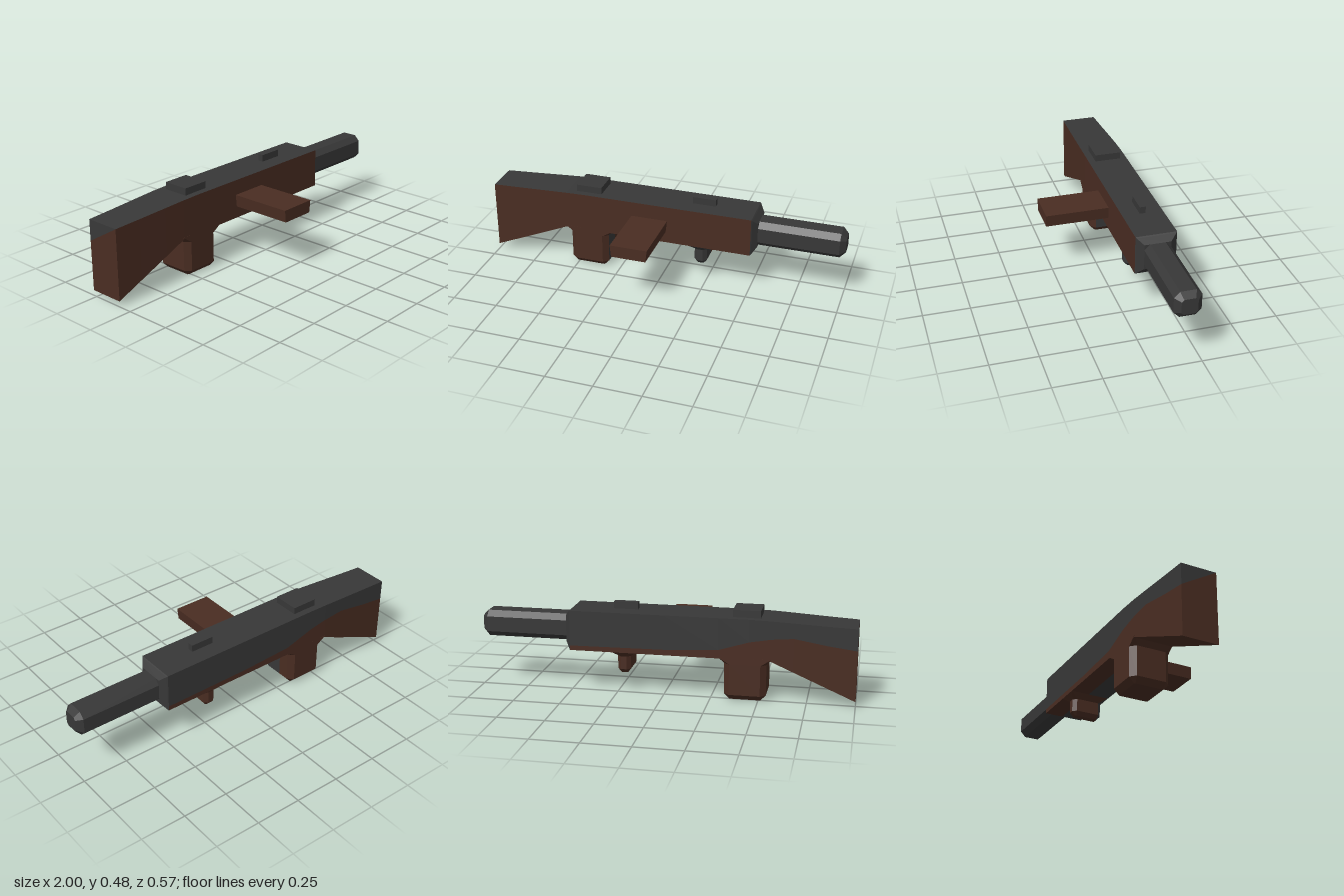
import * as THREE from 'three';

const CZ = -0.172; // centre line of the body
const SPLIT = -0.19; // where the two colours meet on the grips

const steel = new THREE.MeshStandardMaterial({ color: 0x383838 });
steel.name = 'darkGrey';
const wood = new THREE.MeshStandardMaterial({ color: 0x4a2d22 });
wood.name = 'brown';
const MATERIALS = [steel, wood];
const GREY = 0, BROWN = 1;

// Joins rings of points into a closed faceted solid; the colour rules pick a material per face.
function loft(name, rings, sideColor, capColor = sideColor) {
  const tris = [[], []];
  let volume = 0;
  const add = (m, a, b, c) => {
    tris[m].push([a, b, c]);
    volume += a.dot(b.clone().cross(c));
  };
  const n = rings[0].length;
  for (let r = 0; r < rings.length - 1; r++) {
    for (let i = 0; i < n; i++) {
      const j = (i + 1) % n, m = sideColor(i, r);
      add(m, rings[r][i], rings[r + 1][i], rings[r + 1][j]);
      add(m, rings[r][i], rings[r + 1][j], rings[r][j]);
    }
  }
  const first = rings[0], last = rings[rings.length - 1];
  for (let i = 1; i < n - 1; i++) {
    add(capColor(i, 0), first[0], first[i], first[i + 1]);
    add(capColor(i, 1), last[0], last[i + 1], last[i]);
  }
  const geo = new THREE.BufferGeometry();
  const pos = [];
  tris.forEach((list, m) => {
    const start = pos.length / 3;
    for (const [a, b, c] of list) {
      for (const p of volume > 0 ? [a, b, c] : [a, c, b]) pos.push(p.x, p.y, p.z);
    }
    if (list.length) geo.addGroup(start, pos.length / 3 - start, m);
  });
  geo.setAttribute('position', new THREE.Float32BufferAttribute(pos, 3));
  geo.computeVertexNormals();
  const mesh = new THREE.Mesh(geo, MATERIALS);
  mesh.name = name;
  return mesh;
}

// Rectangle with cut corners, plus a point on each side at the colour split
function cutRect(a0, a1, b0, b1, c, split, toPoint) {
  return [
    [a0 + c, b1], [a1 - c, b1], [a1, b1 - c], [a1, split], [a1, b0 + c],
    [a1 - c, b0], [a0 + c, b0], [a0, b0 + c], [a0, split], [a0, b1 - c],
  ].map(([a, b]) => toPoint(a, b));
}

// Horizontal ring for the grips
const flatRing = (y, x0, x1, halfZ, c) =>
  cutRect(x0, x1, CZ - halfZ, CZ + halfZ, c, SPLIT, (x, z) => new THREE.Vector3(x, y, z));

// Upright ring for the barrel
const barrelRing = (x, half, c) =>
  cutRect(0.333 - half, 0.333 + half, CZ - half, CZ + half, c, CZ, (y, z) => new THREE.Vector3(x, y, z));

function box(name, x0, x1, y0, y1, z0, z1, material) {
  const mesh = new THREE.Mesh(new THREE.BoxGeometry(x1 - x0, y1 - y0, z1 - z0), material);
  mesh.position.set((x0 + x1) / 2, (y0 + y1) / 2, (z0 + z1) / 2);
  mesh.name = name;
  return mesh;
}

export function createModel() {
  const model = new THREE.Group();
  model.name = 'blockyToyBlaster';

  // Body and stock: x, bottom, top, half width, height of the colour edge on the back
  const sections = [
    [-1, 0.03, 0.415, 0.097, 0.3],
    [-0.85, 0.096, 0.422, 0.101, 0.32],
    [-0.68, 0.171, 0.431, 0.106, 0.35],
    [-0.56, 0.224, 0.437, 0.109, 0.34],
    [-0.45, 0.225, 0.44, 0.11, 0.32],
    [-0.29, 0.225, 0.44, 0.11, 0.27],
    [0, 0.225, 0.44, 0.11, 0.255],
    [0.5, 0.225, 0.44, 0.11, 0.25],
  ];
  const bodyRings = sections.map(([x, lo, hi, w, edge]) => [
    [hi, CZ + w], [lo, CZ + w], [lo, -0.18], [lo, CZ - w], [edge, CZ - w], [hi, CZ - w],
  ].map(([y, z]) => new THREE.Vector3(x, y, z)));
  model.add(loft('bodyAndStock', bodyRings,
    (i, r) => (i >= 4 || (i === 1 && r >= 5) ? GREY : BROWN),
    (i, end) => (end === 1 || i === 4 ? GREY : BROWN)));

  // Sloped collar between body and barrel
  const collarRing = (x, y0, y1, w) => [[y0, w], [y1, w], [y1, -w], [y0, -w]]
    .map(([y, z]) => new THREE.Vector3(x, y, CZ + z));
  model.add(loft('collar', [
    collarRing(0.5, 0.225, 0.44, 0.11),
    collarRing(0.505, 0.23, 0.435, 0.105),
    collarRing(0.53, 0.262, 0.404, 0.071),
  ], () => GREY));

  // Eight-sided barrel with a bevelled muzzle
  model.add(loft('barrel', [
    barrelRing(0.5, 0.071, 0.03),
    barrelRing(0.97, 0.071, 0.03),
    barrelRing(1, 0.042, 0.012),
  ], () => GREY));

  // Main grip, flared where it meets the body
  model.add(loft('mainGrip', [
    flatRing(0.232, -0.567, -0.288, 0.11, 0.002),
    flatRing(0.195, -0.54, -0.32, 0.11, 0.029),
    flatRing(0.03, -0.54, -0.32, 0.11, 0.029),
    flatRing(0, -0.513, -0.347, 0.081, 0.004),
  ], (i, r) => (i === 2 && r < 2 ? GREY : BROWN), () => BROWN));

  // Small front grip
  model.add(loft('frontGrip', [
    flatRing(0.226, 0.153, 0.275, 0.11, 0.002),
    flatRing(0.197, 0.18, 0.25, 0.084, 0.02),
    flatRing(0.127, 0.18, 0.25, 0.084, 0.02),
    flatRing(0.105, 0.197, 0.233, 0.064, 0.004),
  ], (i) => (i <= 2 || i === 9 ? GREY : BROWN), () => BROWN));

  // Side magazine, slightly narrower underneath
  const magazineRing = (y, x0, x1) => [[x0, 0.284], [x1, 0.284], [x1, -0.08], [x0, -0.08]]
    .map(([x, z]) => new THREE.Vector3(x, y, z));
  model.add(loft('sideMagazine', [
    magazineRing(0.29, -0.165, 0.025),
    magazineRing(0.357, -0.172, 0.033),
  ], () => BROWN));

  // Sights on top
  model.add(box('rearSight', -0.505, -0.36, 0.43, 0.478, -0.245, -0.1, steel));
  model.add(box('frontSight', 0.15, 0.28, 0.43, 0.478, -0.188, -0.156, steel));

  return model;
}
